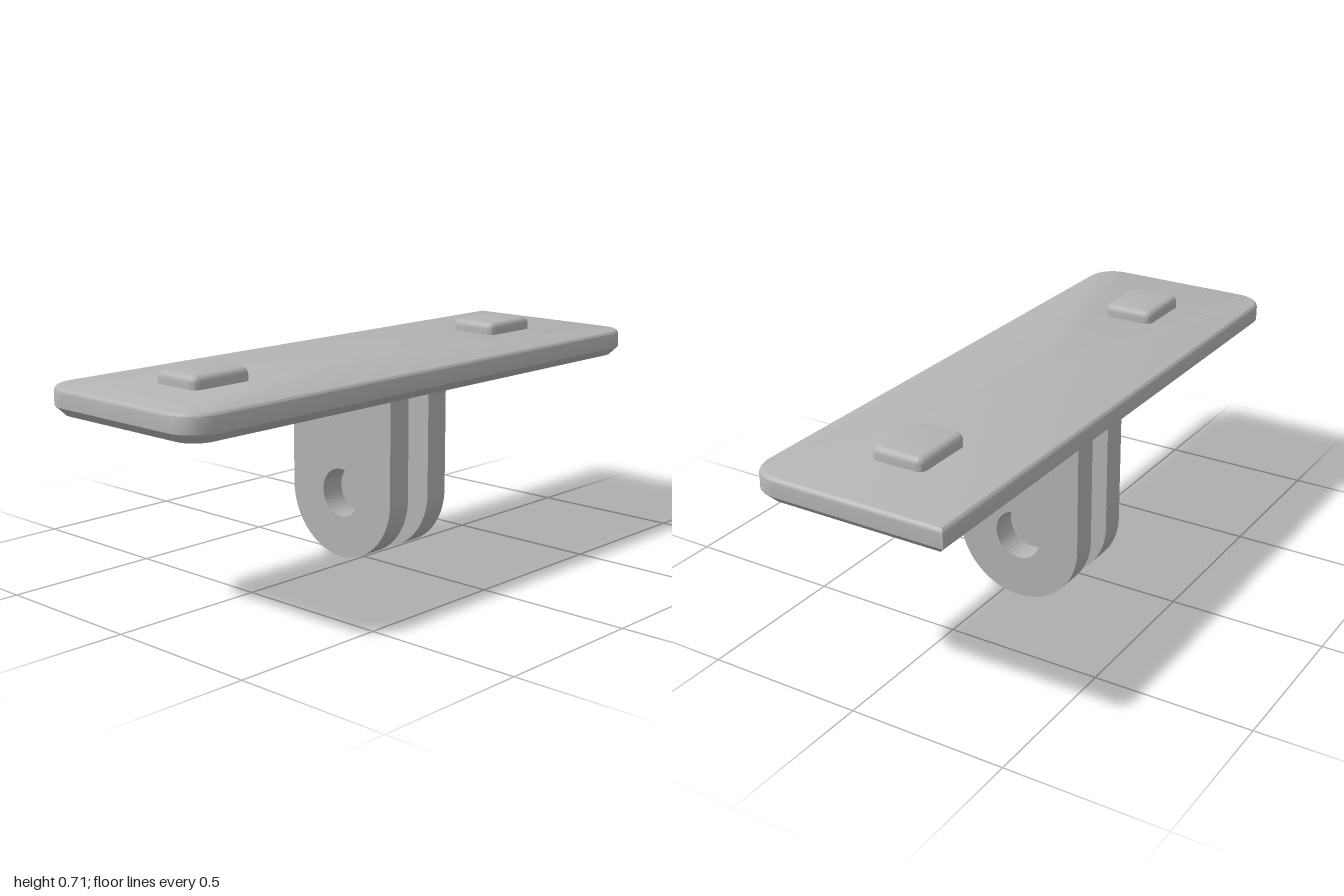
import * as THREE from 'three';
import { toCreasedNormals } from 'three/addons/utils/BufferGeometryUtils.js';

const CREASE = 0.6;

// Outline in x/z, counter-clockwise from above; radii for corners (+x-z, -x-z, -x+z, +x+z)
function outline(halfX, halfZ, radii, inset, steps = 10) {
  const points = [];
  radii.forEach((r, q) => {
    const sx = q === 0 || q === 3 ? 1 : -1;
    const sz = q < 2 ? -1 : 1;
    if (r === 0) {
      points.push([sx * (halfX - inset), sz * (halfZ - inset)]);
      return;
    }
    for (let i = 0; i <= steps; i++) {
      const a = (q + i / steps) * Math.PI / 2;
      points.push([
        sx * (halfX - r) + Math.cos(a) * (r - inset),
        sz * (halfZ - r) - Math.sin(a) * (r - inset),
      ]);
    }
  });
  return points;
}

// Solid slab lofted through [y, inset] levels, capped at both ends
function slab(halfX, halfZ, radii, levels) {
  const position = [], index = [];
  for (const [y, inset] of levels) {
    for (const [x, z] of outline(halfX, halfZ, radii, inset)) position.push(x, y, z);
  }
  const n = position.length / 3 / levels.length;
  const last = (levels.length - 1) * n;
  const bottom = position.length / 3, top = bottom + 1;
  position.push(0, levels[0][0], 0, 0, levels[levels.length - 1][0], 0);
  for (let j = 0; j < n; j++) {
    const k = (j + 1) % n;
    for (let row = 0; row < last; row += n) {
      index.push(row + j, row + k, row + n + k, row + j, row + n + k, row + n + j);
    }
    index.push(bottom, k, j, top, last + j, last + k);
  }
  const geometry = new THREE.BufferGeometry();
  geometry.setAttribute('position', new THREE.Float32BufferAttribute(position, 3));
  geometry.setIndex(index);
  return toCreasedNormals(geometry, CREASE);
}

// Quarter-round levels ending at the top height
function fillet(topY, r, steps = 5) {
  return Array.from({ length: steps + 1 }, (_, i) => {
    const a = (i / steps) * Math.PI / 2;
    return [topY - r + r * Math.sin(a), r * (1 - Math.cos(a))];
  });
}

export function createModel() {
  const model = new THREE.Group();
  model.name = 'mountingPlate';
  const grey = new THREE.MeshStandardMaterial({ color: 0xb4b4b4 });
  grey.name = 'grey';

  const add = (name, geometry, x, y, z) => {
    const mesh = new THREE.Mesh(geometry, grey);
    mesh.name = name;
    mesh.position.set(x, y, z);
    model.add(mesh);
  };

  // Plate: chamfered underside, rounded top edge, one square back corner
  const plate = slab(1, 0.328, [0, 0.097, 0.097, 0.097],
    [[0.585, 0.029], [0.613, 0], ...fillet(0.671, 0.017)]);
  add('plate', plate, 0, 0, 0);

  // Two raised locating pads
  const pad = slab(0.108, 0.088, [0.025, 0.025, 0.025, 0.025],
    [[0.66, 0], ...fillet(0.712, 0.022)]);
  add('rightPad', pad, -0.662, 0, -0.012);
  add('leftPad', pad, 0.658, 0, -0.012);

  // Two hinge lugs with rounded ends and a bolt hole
  const R = 0.214;
  const lugShape = new THREE.Shape();
  lugShape.moveTo(R, 0.59 - R);
  lugShape.lineTo(-R, 0.59 - R);
  lugShape.lineTo(-R, 0);
  lugShape.absarc(0, 0, R, Math.PI, Math.PI * 2, false);
  lugShape.closePath();
  const hole = new THREE.Path();
  hole.absarc(0, 0, 0.079, 0, Math.PI * 2, true);
  lugShape.holes.push(hole);
  const lug = new THREE.ExtrudeGeometry(lugShape, { depth: 0.085, bevelEnabled: false, curveSegments: 40 });
  lug.translate(0, 0, -0.0425);
  lug.rotateY(-Math.PI / 2);
  const lugGeometry = toCreasedNormals(lug, CREASE);
  add('rightLug', lugGeometry, -0.006, R, -0.058);
  add('leftLug', lugGeometry, 0.174, R, -0.058);

  return model;
}
